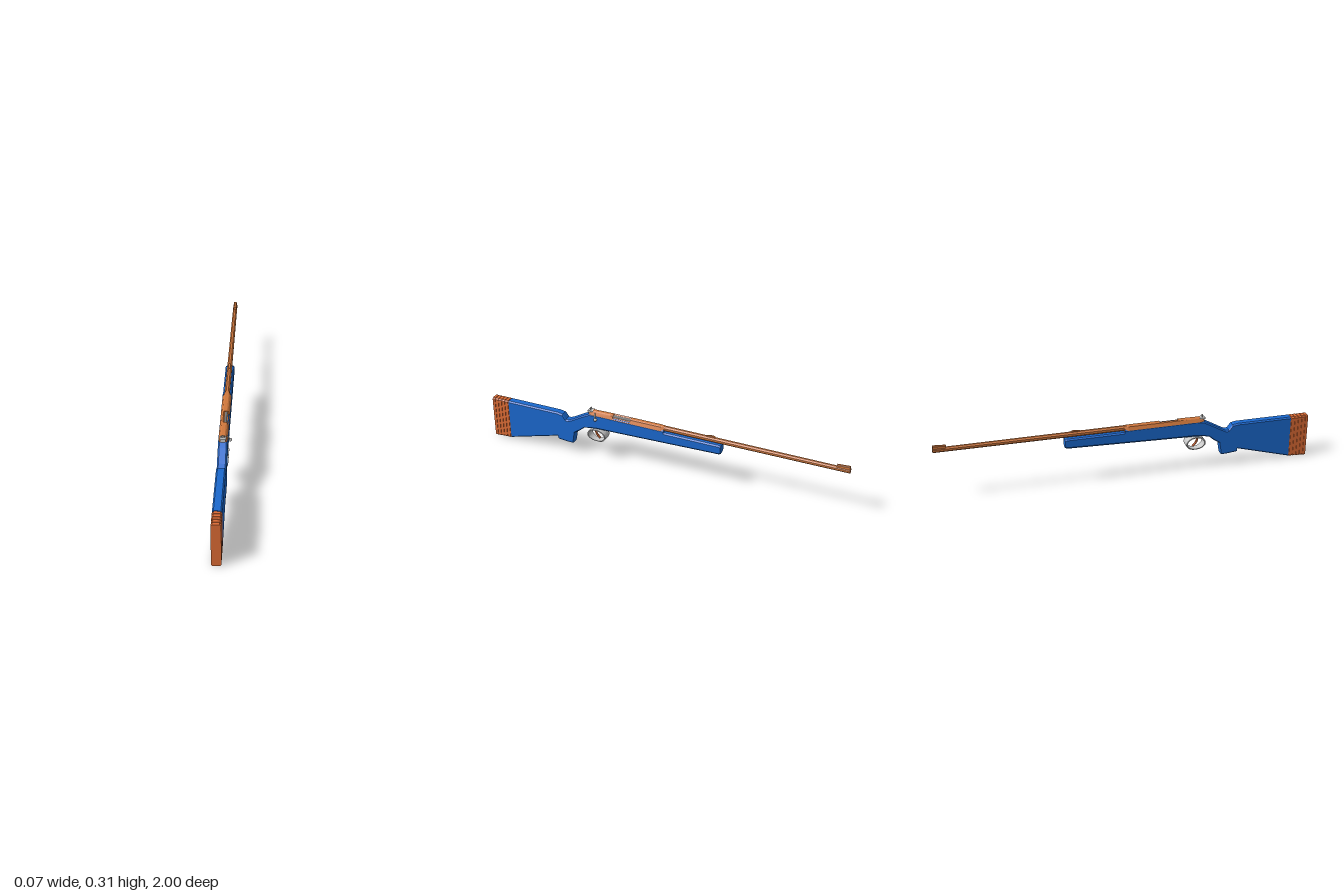
import * as THREE from 'three';

const mat = (color) => new THREE.MeshStandardMaterial({ color, flatShading: true, side: THREE.DoubleSide });
const BLUE = mat(0x1b69cf), ORANGE = mat(0xdd6c35), BROWN = mat(0xcf773c), GREY = mat(0xcccccc);

// Skins a list of [z, outline] rings, ordered from high z to low z, and caps both ends.
function loft(rings) {
  const pos = [];
  const tri = (...vs) => vs.forEach(([z, p]) => pos.push(p[0], p[1], z));
  const n = rings[0][1].length;
  for (let k = 0; k < rings.length - 1; k++) {
    const [za, a] = rings[k], [zb, b] = rings[k + 1];
    for (let i = 0; i < n; i++) {
      const j = (i + 1) % n;
      tri([za, a[i]], [zb, b[i]], [zb, b[j]]);
      tri([za, a[i]], [zb, b[j]], [za, a[j]]);
    }
  }
  const [z0, f] = rings[0], [z1, e] = rings[rings.length - 1];
  for (let i = 1; i < n - 1; i++) {
    tri([z0, f[0]], [z0, f[i]], [z0, f[i + 1]]);
    tri([z1, e[0]], [z1, e[i + 1]], [z1, e[i]]);
  }
  const g = new THREE.BufferGeometry();
  g.setAttribute('position', new THREE.Float32BufferAttribute(pos, 3));
  g.computeVertexNormals();
  return g;
}

// Rectangle outline with cut corners: bottom, top, half width, top and bottom cuts.
const section = (y0, y1, w, ct = 0.007, cb = 0.006) => [
  [w, y0 + cb], [w, y1 - ct], [w - ct, y1], [ct - w, y1],
  [-w, y1 - ct], [-w, y0 + cb], [cb - w, y0], [w - cb, y0],
];

export function createModel() {
  const root = new THREE.Group();
  root.position.x = -0.007;
  const add = (name, geometry, material, x = 0, y = 0, z = 0) => {
    const m = new THREE.Mesh(geometry, material);
    m.name = name;
    m.position.set(x, y, z);
    root.add(m);
    return m;
  };
  const box = (name, material, w, h, d, x, y, z) => add(name, new THREE.BoxGeometry(w, h, d), material, x, y, z);
  const W = 0.0235;

  // Stock: butt, pistol grip, wrist and fore-end as [z, bottom, top]
  const stations = [
    [0.9, 0.006, 0.237], [0.601, 0.09, 0.237], [0.6, 0.072, 0.237], [0.57, 0.069, 0.232],
    [0.55, 0.067, 0.205], [0.535, 0.066, 0.204], [0.512, 0.066, 0.215], [0.5, 0.135, 0.222],
    [0.47, 0.155, 0.239], [0.44, 0.18, 0.256], [0.405, 0.187, 0.274], [0.36, 0.188, 0.277],
    [0.3, 0.189, 0.277], [-0.02, 0.198, 0.277], [-0.02, 0.198, 0.263], [-0.325, 0.207, 0.263], [-0.335, 0.213, 0.26],
  ];
  add('stock', loft(stations.map(([z, a, b]) => [z, section(a, b, W, 0.007, z < 0.4 ? 0.011 : 0.006)])), BLUE);

  // Ribbed butt pad: ridges separated by shallow grooves
  const pad = [];
  for (let i = 0; i < 5; i++) {
    const z = 1 - i * 0.02, d = 0.003;
    const low = i * 0.001;
    pad.push([z, section(low, 0.237, W)], [z - 0.015, section(low, 0.237, W)]);
    pad.push([z - 0.015, section(low + d, 0.237 - d, W - d)], [z - 0.02, section(low + d, 0.237 - d, W - d)]);
  }
  add('buttPad', loft(pad), ORANGE);

  // Receiver with an open port cut into its left shoulder
  const receiver = (top, w, port = 0) => [
    [w, 0.255], [w, 0.272], [w - 0.008 - port, top - 0.004 - port], [0.008 - port, top - port],
    [-0.008, top], [0.008 - w, top - 0.004], [-w, 0.272], [-w, 0.255],
  ];
  add('receiver', loft([
    [0.41, receiver(0.285, 0.018)], [0.39, receiver(0.292, 0.022)], [0.27, receiver(0.294, 0.0225)],
    [0.27, receiver(0.294, 0.0225, 0.008)], [0.17, receiver(0.294, 0.0225, 0.008)],
    [0.17, receiver(0.294, 0.0225)], [0, receiver(0.294, 0.0225)], [-0.02, receiver(0.293, 0.018)],
  ]), BROWN);
  const bolt = new THREE.CylinderGeometry(0.007, 0.007, 0.1, 10).rotateX(Math.PI / 2);
  add('bolt', bolt, GREY, 0.004, 0.283, 0.22);

  // Barrel, bore and muzzle
  const barrel = new THREE.CylinderGeometry(0.0145, 0.0125, 0.98, 8, 1, true)
    .rotateY(Math.PI / 8).rotateX(Math.PI / 2);
  add('barrel', barrel, BROWN, 0, 0.28, -0.51);
  add('muzzleRim', new THREE.RingGeometry(0.007, 0.0125, 16), BROWN, 0, 0.28, -1);
  const bore = new THREE.CylinderGeometry(0.007, 0.007, 0.08, 12, 1, true).rotateX(Math.PI / 2);
  add('bore', bore, BROWN, 0, 0.28, -0.96);

  // Front sight ramp and barrel sight
  add('frontSight', loft([
    [-0.932, section(0.28, 0.302, 0.008, 0.003, 0.002)], [-0.998, section(0.28, 0.306, 0.008, 0.003, 0.002)],
  ]), BROWN);
  add('barrelSight', loft([
    [-0.25, section(0.285, 0.295, 0.006, 0.001, 0.001)], [-0.285, section(0.285, 0.301, 0.006, 0.001, 0.001)],
    [-0.3, section(0.285, 0.295, 0.006, 0.001, 0.001)],
  ]), BROWN);

  // Rear aperture sight on a small plate
  box('boltShroud', GREY, 0.022, 0.012, 0.03, 0, 0.277, 0.4);
  box('rearSightPlate', GREY, 0.03, 0.007, 0.03, 0, 0.288, 0.403);
  add('rearSightRing', new THREE.TorusGeometry(0.0065, 0.0025, 6, 16), GREY, 0, 0.298, 0.405);

  // Bolt handle with a ball knob
  const handlePath = new THREE.CatmullRomCurve3([
    new THREE.Vector3(0.01, 0.285, 0.375), new THREE.Vector3(0.022, 0.277, 0.373), new THREE.Vector3(0.033, 0.257, 0.367),
  ]);
  add('boltHandle', new THREE.TubeGeometry(handlePath, 8, 0.0035, 8), GREY);
  add('boltKnob', new THREE.SphereGeometry(0.009, 14, 10), GREY, 0.033, 0.255, 0.365);

  // Trigger guard: a wide oval band that narrows towards the bottom
  const oval = new THREE.Shape().absellipse(0, 0, 0.053, 0.039, 0, Math.PI * 2);
  oval.holes.push(new THREE.Path().absellipse(0, 0, 0.047, 0.033, 0, Math.PI * 2, true));
  const guard = new THREE.ExtrudeGeometry(oval, { depth: 2, bevelEnabled: false, curveSegments: 20 })
    .translate(0, 0, -1).rotateY(-Math.PI / 2);
  const p = guard.attributes.position;
  for (let i = 0; i < p.count; i++) {
    const t = THREE.MathUtils.clamp((p.getY(i) + 0.039) / 0.055, 0, 1);
    p.setX(i, p.getX(i) * (0.014 + 0.014 * Math.sqrt(t)));
  }
  guard.computeVertexNormals();
  add('triggerGuard', guard, GREY, 0, 0.15, 0.367);

  // Curved trigger
  const triggerPath = new THREE.CatmullRomCurve3([
    new THREE.Vector3(0, 0.192, 0.38), new THREE.Vector3(0, 0.165, 0.38),
    new THREE.Vector3(0, 0.145, 0.372), new THREE.Vector3(0, 0.128, 0.355),
  ]);
  add('trigger', new THREE.TubeGeometry(triggerPath, 10, 0.006, 6), ORANGE);

  return root;
}
